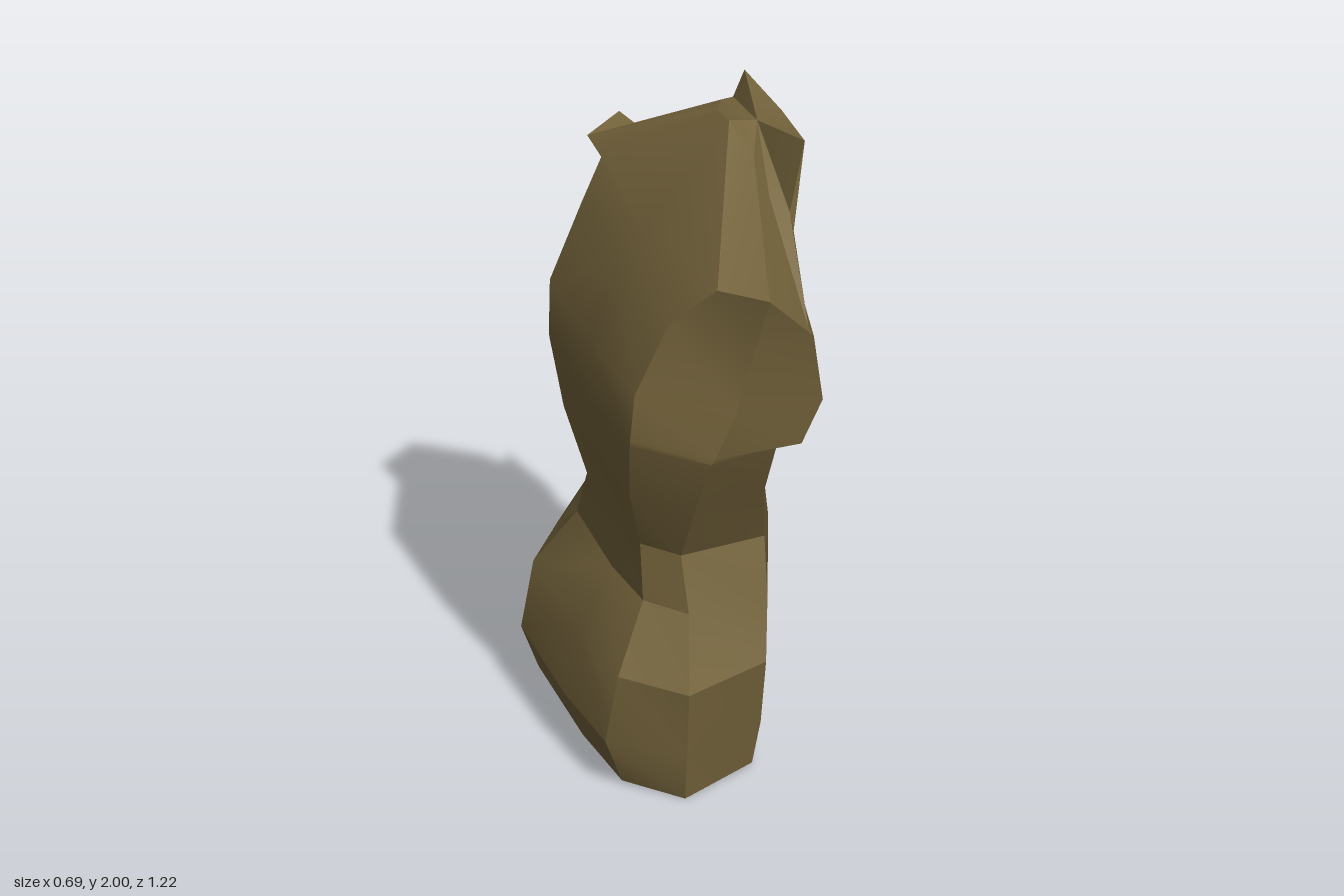
import * as THREE from 'three';
import { toCreasedNormals } from 'three/addons/utils/BufferGeometryUtils.js';

// One tilted cross-section, running chest -> +z side -> back -> -z side.
// chest, spine and side are x values, left and right are half-depths along z,
// front is how far the chest edge reaches towards the +z side.
function section(y, chest, spine, side, left, right, front) {
  const edgeL = left * front;
  const edgeR = -right * (1 - (1 - front) * 0.6);
  return [
    [chest, 0], [chest - 0.02, edgeL / 2], [chest - 0.075, edgeL], [side, left], [spine + 0.02, left * 0.65],
    [spine, 0], [spine + 0.01, -right * 0.68], [side - 0.03, -right], [chest - 0.115, edgeR], [chest - 0.04, edgeR / 2],
  ].map(([x, z]) => [x, y - 0.065 * z, z]);
}

// Skin a stack of sections, open at the bottom and closed at the top.
// The diagonals mirror between the two sides.
function loft(rings, topCentre) {
  const n = rings[0].length;
  const top = rings[rings.length - 1];
  const pos = [];
  const tri = (a, b, c) => pos.push(...a, ...b, ...c);
  for (let i = 0; i < n; i++) {
    const j = (i + 1) % n;
    for (let r = 0; r < rings.length - 1; r++) {
      const a = rings[r][i], b = rings[r][j];
      const c = rings[r + 1][i], d = rings[r + 1][j];
      if (i < n / 2) {
        tri(a, c, d);
        tri(a, d, b);
      } else {
        tri(a, c, b);
        tri(b, c, d);
      }
    }
    tri(topCentre, top[j], top[i]);
  }
  const geo = new THREE.BufferGeometry();
  geo.setAttribute('position', new THREE.Float32BufferAttribute(pos, 3));
  return toCreasedNormals(geo, 0.45);
}

export function createModel() {
  const group = new THREE.Group();
  group.name = 'torsoStatue';
  const bronze = new THREE.MeshStandardMaterial({ color: 0x75643c, side: THREE.DoubleSide });
  bronze.name = 'bronze';

  // Hips
  const hips = [
    section(0.03, 0.2, -0.29, -0.13, 0.44, 0.605, 0.68),
    section(0.17, 0.22, -0.345, -0.13, 0.455, 0.6, 0.7),
    section(0.38, 0.225, -0.31, -0.13, 0.475, 0.59, 0.74),
    section(0.56, 0.245, -0.2, -0.08, 0.33, 0.49, 0.93),
  ];

  // Waist, ending at the ledge under the chest
  const waist = [
    section(0.73, 0.255, -0.2, -0.09, 0.29, 0.36, 0.87),
    section(0.93, 0.22, -0.255, -0.08, 0.39, 0.43, 0.89),
    section(1.13, 0.22, -0.28, -0.07, 0.5, 0.51, 0.91),
  ];

  // Chest
  const chest = [
    section(1.15, 0.285, -0.28, -0.06, 0.505, 0.515, 0.97),
    section(1.3, 0.34, -0.27, 0, 0.52, 0.545, 1),
    section(1.53, 0.3, -0.17, 0.05, 0.555, 0.555, 1),
  ];

  // Shoulder line, low at the chest edges and high at the back
  const shoulders = [
    [0.27, 1.69, 0], [0.26, 1.7, 0.28], [0.21, 1.52, 0.55], [0.07, 1.655, 0.61], [-0.045, 1.65, 0.48],
    [-0.11, 1.65, 0.02], [-0.1, 1.7, -0.37], [-0.11, 1.72, -0.47], [0.17, 1.59, -0.55], [0.25, 1.73, -0.25],
  ];

  // Broken rim of the neck
  const neck = [
    [0.315, 1.96, 0.02], [0.305, 1.97, 0.25], [0.25, 1.76, 0.275], [0.2, 1.8, 0.24], [0.18, 1.9, 0.16],
    [0.15, 1.96, 0.03], [0.16, 1.93, -0.1], [0.2, 1.92, -0.18], [0.245, 1.91, -0.205], [0.275, 2, -0.19],
  ];

  const torso = new THREE.Mesh(loft([...hips, ...waist, ...chest, shoulders, neck], [0.24, 1.94, 0.02]), bronze);
  torso.name = 'torso';
  group.add(torso);

  // Raised outer corner of the -z shoulder
  const corner = new THREE.BufferGeometry().setFromPoints([
    [-0.11, 1.72, -0.47], [0.17, 1.59, -0.55], [0.02, 1.735, -0.56],
    [-0.11, 1.72, -0.47], [0.02, 1.735, -0.56], [-0.01, 1.55, -0.555],
    [0.02, 1.735, -0.56], [0.17, 1.59, -0.55], [-0.01, 1.55, -0.555],
  ].map((p) => new THREE.Vector3(...p)));
  corner.computeVertexNormals();
  const shoulderCorner = new THREE.Mesh(corner, bronze);
  shoulderCorner.name = 'shoulderCorner';
  group.add(shoulderCorner);
  return group;
}
